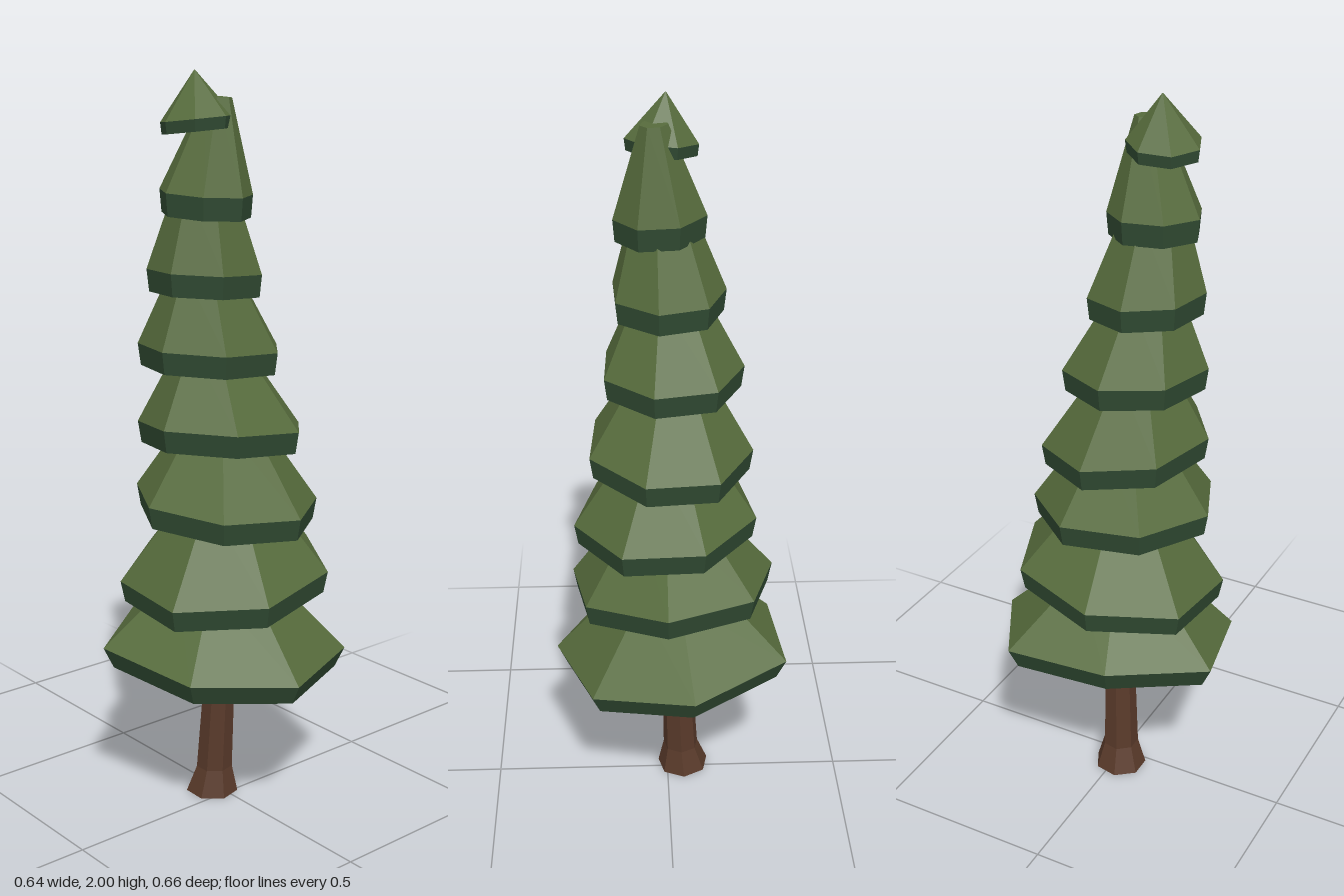
import * as THREE from 'three';

const SIDES = 7;

// Ring of points around (x, y, z); tiltX / tiltZ raise it per unit of x / z.
function ring({ x, y, z, r, phase = 0, tiltX = 0, tiltZ = 0, uneven = [] }) {
  const points = [];
  for (let i = 0; i < SIDES; i++) {
    const a = THREE.MathUtils.degToRad(phase) + (i / SIDES) * Math.PI * 2;
    const k = r * (uneven[i] ?? 1);
    const dx = k * Math.cos(a), dz = k * Math.sin(a);
    points.push(new THREE.Vector3(x + dx, y + dx * tiltX + dz * tiltZ, z + dz));
  }
  return { points, center: new THREE.Vector3(x, y, z) };
}

// Faceted skin through rings listed bottom to top, with optional end caps.
function loft(name, rings, material, capBottom, capTop) {
  const tris = [];
  for (let i = 0; i < SIDES; i++) {
    const j = (i + 1) % SIDES;
    for (let k = 0; k + 1 < rings.length; k++) {
      const lo = rings[k].points, hi = rings[k + 1].points;
      tris.push(lo[i], hi[i], hi[j], lo[i], hi[j], lo[j]);
    }
    const first = rings[0], last = rings[rings.length - 1];
    if (capBottom) tris.push(first.center, first.points[i], first.points[j]);
    if (capTop) tris.push(last.center, last.points[j], last.points[i]);
  }
  const geometry = new THREE.BufferGeometry().setFromPoints(tris);
  geometry.computeVertexNormals();
  const mesh = new THREE.Mesh(geometry, material);
  mesh.name = name;
  return mesh;
}

export function createModel() {
  const tree = new THREE.Group();
  tree.name = 'pineTree';
  const mat = (color) => new THREE.MeshStandardMaterial({ color, flatShading: true });
  const bark = mat(0x593a2a), needles = mat(0x566b3c), shade = mat(0x304a32);

  // Leaning trunk with a flared foot
  tree.add(loft('trunk', [
    ring({ x: -0.047, y: 0.005, z: 0.017, r: 0.074, phase: 12, tiltX: -0.03 }),
    ring({ x: -0.04, y: 0.08, z: 0.014, r: 0.051, phase: 12 }),
    ring({ x: -0.022, y: 0.5, z: 0, r: 0.04, phase: 12 }),
  ], bark, true, true));

  // Each tier: rim centre x, y, z, rim radius, phase, tilts; then top x, y, z, radius
  const tiers = [
    { rim: [-0.016, 0.475, -0.007, 0.332, 4.5, -0.12, 0.01], top: [-0.012, 0.67, 0, 0.13],
      uneven: [1, 0.99, 1.07, 0.9, 1.06, 0.99, 1] },
    { rim: [-0.012, 0.68, -0.002, 0.288, 16.6, -0.05, -0.13], top: [0, 0.91, 0.005, 0.105] },
    { rim: [0.005, 0.885, 0.007, 0.252, -10, -0.06, 0.05], top: [0, 1.11, 0.012, 0.095] },
    { rim: [-0.004, 1.085, 0.013, 0.226, -73, 0.05, 0.09], top: [-0.01, 1.31, 0.04, 0.085] },
    { rim: [-0.012, 1.3, 0.045, 0.192, -75, 0, 0.05], top: [-0.003, 1.51, 0.07, 0.085] },
    { rim: [-0.003, 1.5, 0.068, 0.153, -80, 0, 0.05], top: [0.012, 1.71, 0.08, 0.08] },
    { rim: [0.015, 1.7, 0.083, 0.122, -61, -0.06, 0.03], top: [0.03, 1.935, 0.055, 0.036] },
    { rim: [0.01, 1.882, 0.107, 0.095, -10, 0.08, -0.06], top: [0, 2, 0.105, 0.001] },
  ];

  tiers.forEach(({ rim, top, uneven }, i) => {
    const [x, y, z, r, phase, tiltX, tiltZ] = rim;
    const base = { x, z, phase, tiltX, tiltZ, uneven };
    const edge = ring({ ...base, y, r });
    const drop = i === tiers.length - 1 ? 0.03 : 0.058;
    const bottom = ring({ ...base, y: y - drop, r: r * (i === 0 ? 0.92 : 0.96) });
    const crown = ring({ ...base, x: top[0], y: top[1], z: top[2], r: top[3] });
    const tier = new THREE.Group();
    tier.name = `foliageTier${i + 1}`;
    tier.add(loft('skirt', [bottom, edge], shade, true, false));
    tier.add(loft('slope', [edge, crown], needles, false, true));
    tree.add(tier);
  });
  return tree;
}
